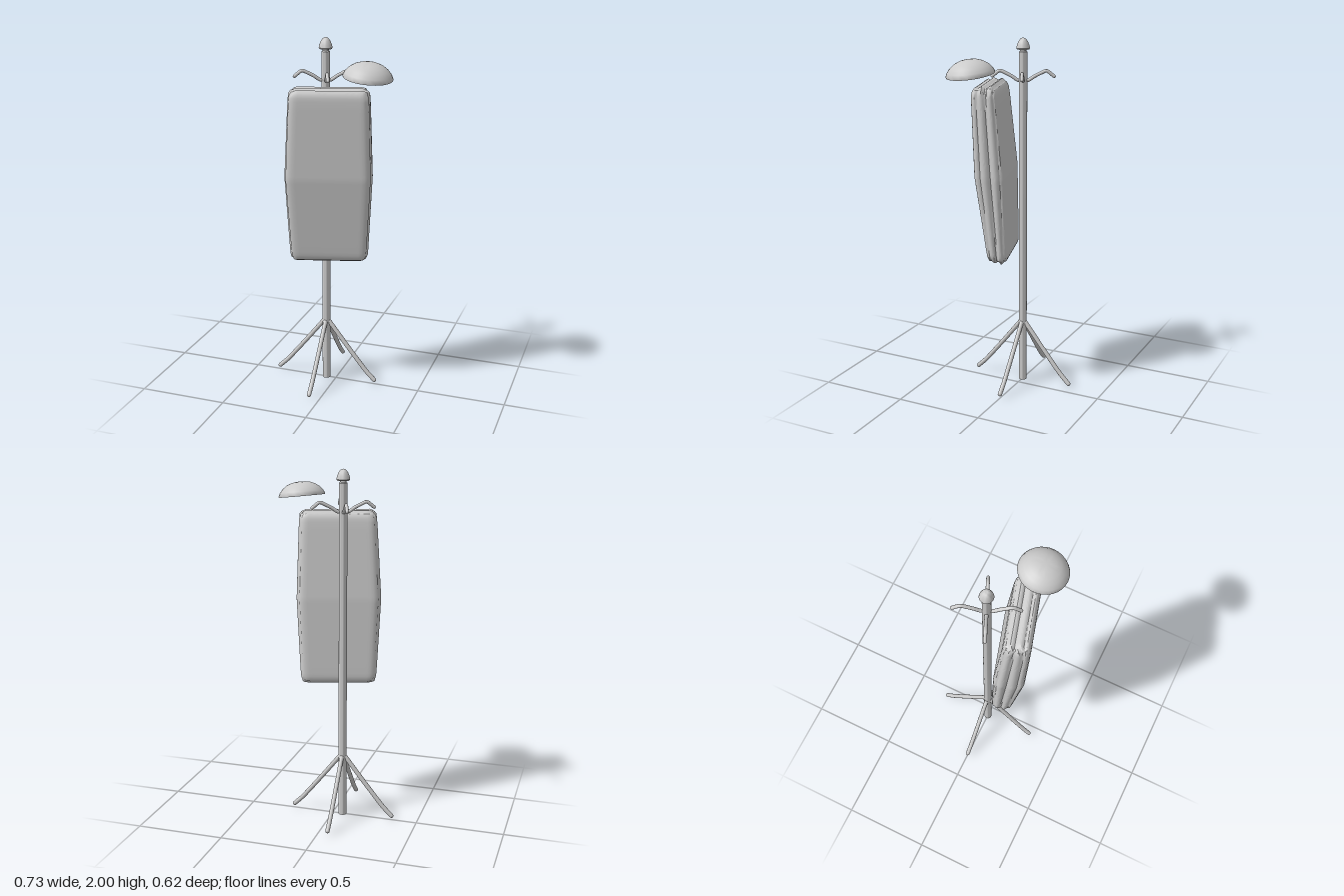
import * as THREE from 'three';
import { mergeVertices, toCreasedNormals } from 'three/addons/utils/BufferGeometryUtils.js';

const POLE_X = -0.058;

const grey = new THREE.MeshStandardMaterial({ color: 0xcccccc });
grey.name = 'paleGrey';

function add(parent, name, geometry) {
  const mesh = new THREE.Mesh(geometry, grey);
  mesh.name = name;
  parent.add(mesh);
  return mesh;
}

// Lathe from [radius, height] pairs, keeping hard edges
function lathe(pairs, sides = 24) {
  const g = new THREE.LatheGeometry(pairs.map(([r, y]) => new THREE.Vector2(r, y)), sides);
  return toCreasedNormals(g, 0.7);
}

// Bent rod in the x-y plane with a rounded tip
function rod(parent, name, pairs, radius, angle) {
  const group = new THREE.Group();
  group.name = name;
  const pts = pairs.map(([x, y]) => new THREE.Vector3(x, y, 0));
  const curve = new THREE.CatmullRomCurve3(pts, false, 'catmullrom', 0.3);
  add(group, name + 'Rod', new THREE.TubeGeometry(curve, 20, radius, 12));
  add(group, name + 'Tip', new THREE.SphereGeometry(radius, 12, 8)).position.copy(pts[pts.length - 1]);
  group.rotation.y = angle;
  parent.add(group);
}

// Linear interpolation through [y, value] stops
function along(stops, y) {
  if (y <= stops[0][0]) return stops[0][1];
  for (let i = 1; i < stops.length; i++) {
    const [y0, v0] = stops[i - 1], [y1, v1] = stops[i];
    if (y <= y1) return v0 + (v1 - v0) * (y - y0) / (y1 - y0);
  }
  return stops[stops.length - 1][1];
}

// Hanging garment: a rounded block that bulges, leans and has folded sides
function garmentGeometry() {
  const H = new THREE.Vector3(0.22, 0.485, 0.08), R = 0.04;
  let g = new THREE.BoxGeometry(2 * H.x, 2 * H.y, 2 * H.z, 26, 50, 18);
  g.deleteAttribute('normal');
  g.deleteAttribute('uv');
  g = mergeVertices(g);
  const halfWidth = [[-0.485, 0.208], [-0.4, 0.213], [0, 0.232], [0.4, 0.214], [0.485, 0.208]];
  const halfDepth = [[-0.485, 0.055], [-0.4, 0.061], [0, 0.084], [0.4, 0.072], [0.485, 0.066]];
  const centreX = [[-0.485, -0.005], [0, 0.005], [0.485, 0.02]];
  const centreZ = [[-0.485, 0.095], [0, 0.133], [0.485, 0.163]];
  const pos = g.attributes.position;
  const p = new THREE.Vector3(), inner = new THREE.Vector3(), n = new THREE.Vector3();
  const lim = H.clone().subScalar(R), low = lim.clone().negate();
  const turn = 0.285, c = Math.cos(turn), s = Math.sin(turn);
  for (let i = 0; i < pos.count; i++) {
    p.fromBufferAttribute(pos, i);
    const fold = p.z / H.z;
    inner.copy(p).clamp(low, lim);
    n.copy(p).sub(inner).normalize();
    p.copy(inner).addScaledVector(n, R);
    // folds run along the narrow faces and crumple at the corners
    const side = 1 - Math.abs(n.z);
    const corner = Math.abs(n.x * n.y);
    const crease = Math.abs(Math.sin(fold * 4.6 + 0.5 + p.y * 0.7)) - 0.6;
    const crumple = Math.sin(p.x * 90 + p.z * 120) * Math.sin(p.y * 110 + p.z * 70);
    p.addScaledVector(n, side * 0.014 * crease + corner * 0.014 * crumple);
    const y = p.y;
    const u = p.x / H.x * along(halfWidth, y);
    const w = p.z / H.z * along(halfDepth, y);
    pos.setXYZ(i, along(centreX, y) + u * c + w * s, 1.27 + y, along(centreZ, y) - u * s + w * c);
  }
  return toCreasedNormals(g, 0.6);
}

export function createModel() {
  const model = new THREE.Group();
  model.name = 'coatStand';

  const stand = new THREE.Group();
  stand.name = 'stand';
  stand.position.x = POLE_X;
  model.add(stand);

  // Pole and pointed finial
  add(stand, 'pole', lathe([[0, 0], [0.023, 0], [0.023, 1.925], [0.018, 1.93], [0.018, 1.945]]));
  add(stand, 'finial', lathe([
    [0, 1.938], [0.033, 1.938], [0.037, 1.945], [0.034, 1.96],
    [0.026, 1.98], [0.016, 1.994], [0.007, 1.999], [0, 2],
  ]));

  // Four splayed legs and four bent hooks
  for (let i = 0; i < 4; i++) {
    const quarter = i * Math.PI / 2;
    rod(stand, 'leg', [[0, 0.38], [0.02, 0.355], [0.13, 0.215], [0.24, 0.08], [0.295, 0.025]], 0.0125, quarter);
    rod(stand, 'hook', [[0, 1.77], [0.03, 1.772], [0.065, 1.795], [0.12, 1.822], [0.135, 1.82], [0.168, 1.794]],
      0.0095, quarter + 0.41);
  }

  // Garment hanging in front of the pole
  add(model, 'garment', garmentGeometry());

  // Tilted domed hat with a flat underside
  const hat = add(model, 'hat', lathe([
    [0, 0], [0.13, 0], [0.131, 0.006], [0.122, 0.025], [0.104, 0.046],
    [0.08, 0.063], [0.05, 0.075], [0.025, 0.079], [0, 0.08],
  ], 32));
  hat.position.set(0.232, 1.826, 0.166);
  hat.rotation.set(0.08, 0, -0.115);

  return model;
}
